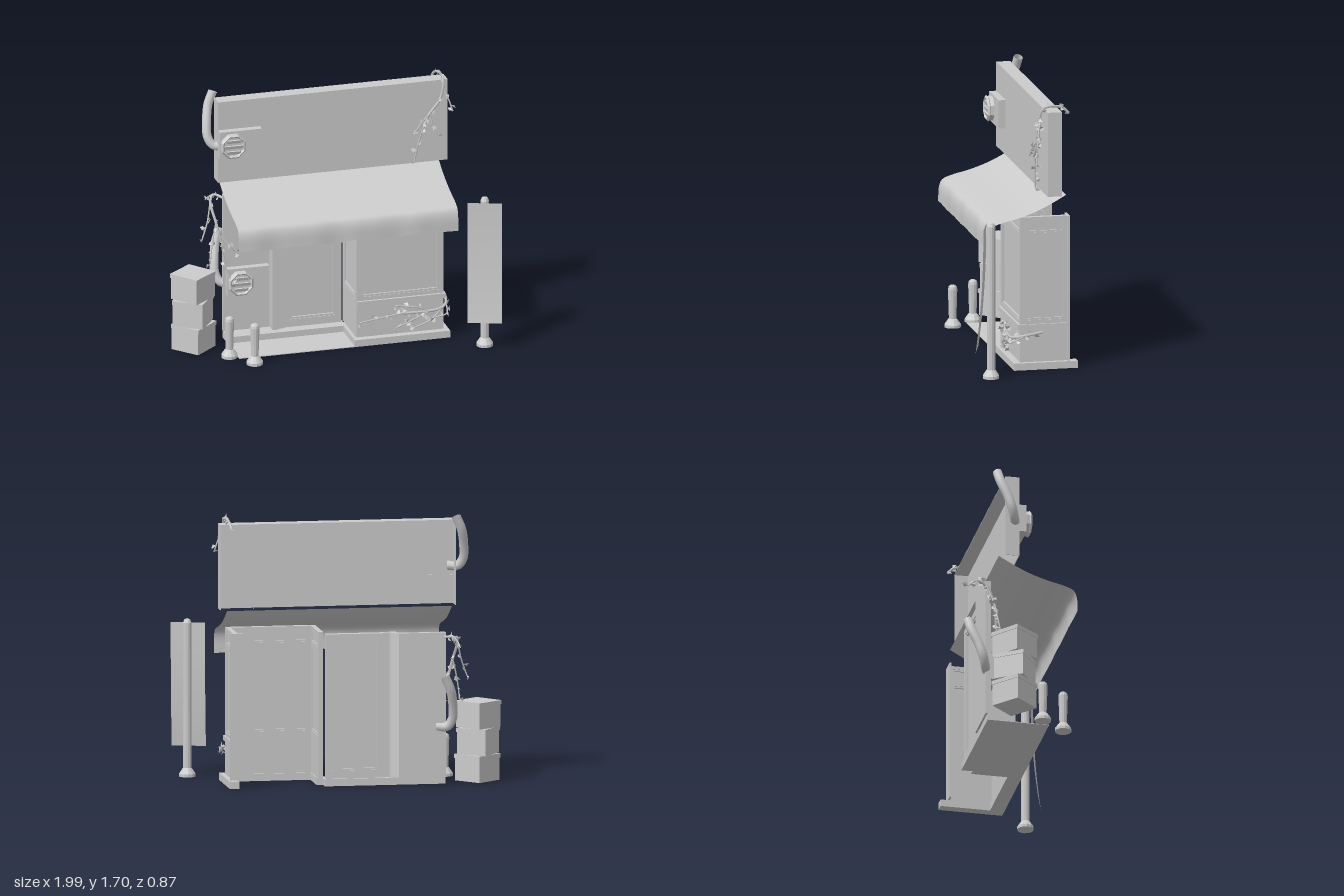
import * as THREE from 'three';

const mat = new THREE.MeshStandardMaterial({ color: 0xcccccc, flatShading: true, side: THREE.DoubleSide });
const smooth = new THREE.MeshStandardMaterial({ color: 0xcccccc, side: THREE.DoubleSide });
const V = (p) => new THREE.Vector3(...p);

function add(parent, name, geo, material = mat) {
  const m = new THREE.Mesh(geo, material);
  m.name = name;
  parent.add(m);
  return m;
}

function group(parent, name, x = 0, y = 0, z = 0, ry = 0) {
  const g = new THREE.Group();
  g.name = name;
  g.position.set(x, y, z);
  g.rotation.y = ry;
  parent.add(g);
  return g;
}

// Box given by its minimum and maximum corners
function box(parent, name, x0, y0, z0, x1, y1, z1) {
  const m = add(parent, name, new THREE.BoxGeometry(x1 - x0, y1 - y0, z1 - z0));
  m.position.set((x0 + x1) / 2, (y0 + y1) / 2, (z0 + z1) / 2);
  return m;
}

function rect(Type, x0, y0, x1, y1) {
  return new Type([[x0, y0], [x1, y0], [x1, y1], [x0, y1]].map((p) => new THREE.Vector2(...p)));
}

// Wall with recessed panels, starting at the local origin, outer face at z = depth
function panelWall(parent, name, w, h, depth, panels, pos, ry = 0) {
  const g = group(parent, name, ...pos, ry);
  const shape = rect(THREE.Shape, 0, 0, w, h);
  for (const p of panels) {
    shape.holes.push(rect(THREE.Path, ...p));
    const [x0, y0, x1, y1] = p;
    box(g, 'recessedPanel', x0, y0, depth * 0.35, x1, y1, depth * 0.6);
    // Raised moulding around each panel
    const rim = rect(THREE.Shape, x0 - 0.004, y0 - 0.004, x1 + 0.004, y1 + 0.004);
    rim.holes.push(rect(THREE.Path, x0 + 0.012, y0 + 0.012, x1 - 0.012, y1 - 0.012));
    add(g, 'panelMoulding', new THREE.ExtrudeGeometry(rim, { depth: depth * 0.8, bevelEnabled: false })).position.z = depth * 0.1;
  }
  add(g, 'wallFrame', new THREE.ExtrudeGeometry(shape, { depth, bevelEnabled: false }));
  return g;
}

function lathe(parent, name, profile, x, z) {
  const m = add(parent, name, new THREE.LatheGeometry(profile.map((p) => new THREE.Vector2(...p)), 12));
  m.position.set(x, 0, z);
  return m;
}

function tube(parent, name, pts, r, seg = 16, sides = 10) {
  const curve = new THREE.CatmullRomCurve3(pts.map(V));
  add(parent, name, new THREE.TubeGeometry(curve, seg, r, sides), smooth);
  return curve;
}

// Octagonal vent on a plate, with its bent exhaust pipe
function ventUnit(parent, name, x, y, z) {
  const g = group(parent, name, x, y, z);
  box(g, 'mountPlate', -0.08, -0.09, -0.045, 0.19, 0.09, 0);
  const ring = add(g, 'octagonRing', new THREE.TorusGeometry(0.073, 0.011, 4, 8));
  ring.rotation.z = Math.PI / 8;
  ring.position.z = 0.03;
  const drum = add(g, 'octagonDrum', new THREE.CylinderGeometry(0.076, 0.08, 0.03, 8));
  drum.rotation.set(Math.PI / 2, Math.PI / 8, 0);
  drum.position.z = 0.015;
  for (let i = -1; i <= 1; i++) {
    const w = i ? 0.045 : 0.062;
    box(g, 'louver', -w, i * 0.036 - 0.012, 0.028, w, i * 0.036 + 0.008, 0.037).rotation.x = 0.3;
  }
  tube(g, 'exhaustPipe', [[-0.04, -0.02, -0.06], [-0.1, -0.02, -0.08], [-0.132, 0.03, -0.1],
    [-0.13, 0.12, -0.13], [-0.11, 0.22, -0.17], [-0.075, 0.3, -0.185]], 0.029, 24);
}

// Vine: curved stems with small folded leaves along them
function vine(parent, name, stems) {
  const g = group(parent, name);
  const leafGeo = new THREE.BufferGeometry();
  leafGeo.setAttribute('position', new THREE.Float32BufferAttribute(
    [0, 0, 0, 0.017, 0.02, 0.008, 0, 0.038, 0, -0.017, 0.02, 0.008], 3));
  leafGeo.setIndex([0, 1, 2, 0, 2, 3]);
  leafGeo.computeVertexNormals();
  stems.forEach((pts, s) => {
    const curve = tube(g, 'stem', pts, s ? 0.005 : 0.009, 12, 5);
    const n = Math.max(3, Math.round(curve.getLength() / 0.04));
    for (let i = 1; i <= n; i++) {
      const leaf = add(g, 'leaf', leafGeo);
      leaf.position.copy(curve.getPoint(i / n));
      leaf.rotation.set(i * 1.1 + s, i * 0.8, i * 2.4 + s * 1.7);
    }
  });
}

export function createModel() {
  const root = new THREE.Group();
  root.name = 'shopFront';

  // Plinth, stepped around the entrance, and the thin entrance floor
  const base = group(root, 'plinth');
  box(base, 'wingFrontPlinth', 0.115, 0, 0.03, 0.73, 0.045, 0.12);
  box(base, 'wingSidePlinth', 0.67, 0, -0.285, 0.73, 0.045, 0.03);
  box(base, 'returnPlinth', 0.115, 0, -0.2, 0.17, 0.045, 0.03);
  box(base, 'entrancePlinth', -0.63, 0, -0.27, 0.13, 0.045, -0.14);
  box(base, 'entranceFloor', -0.63, 0, -0.14, 0.115, 0.005, 0.12);

  // Window wing
  const wing = group(root, 'windowWing');
  const upper = (w) => [[0.03, 0.265, w - 0.03, 0.785], [0.03, 0.82, w - 0.03, 0.9]];
  panelWall(wing, 'frontWall', 0.56, 0.92, 0.035, upper(0.56), [0.14, 0.045, 0.04]);
  panelWall(wing, 'sideWall', 0.31, 0.92, 0.03, upper(0.31), [0.67, 0.045, 0.074], Math.PI / 2);
  panelWall(wing, 'returnWall', 0.305, 0.92, 0.03, upper(0.305), [0.165, 0.045, -0.235], -Math.PI / 2);
  box(wing, 'windowSill', 0.14, 0.255, 0.06, 0.71, 0.285, 0.09);
  box(wing, 'sideSill', 0.69, 0.255, -0.235, 0.71, 0.285, 0.06);
  box(wing, 'rearPost', 0.62, 0.045, -0.238, 0.72, 0.965, -0.225);

  // Entrance door and the wall beside it
  const entrance = group(root, 'entrance');
  panelWall(entrance, 'door', 0.37, 0.905, 0.045, [[0.04, 0.05, 0.33, 0.86]], [-0.25, 0.045, -0.255]);
  box(entrance, 'doorJamb', -0.285, 0.045, -0.235, -0.25, 0.95, -0.2);
  box(entrance, 'doorPost', -0.33, 0, -0.24, -0.285, 0.95, -0.185);
  const wallShape = new THREE.Shape([[-0.63, -0.25], [-0.33, -0.25], [-0.28, -0.2], [-0.28, -0.232],
    [-0.335, -0.283], [-0.63, -0.283]].map(([x, z]) => new THREE.Vector2(x, -z)));
  const wall = add(entrance, 'sideWall', new THREE.ExtrudeGeometry(wallShape, { depth: 0.905, bevelEnabled: false }));
  wall.rotation.x = -Math.PI / 2;
  wall.position.y = 0.045;
  box(entrance, 'lowerNotice', -0.52, 0.49, -0.25, -0.355, 0.58, -0.24);
  box(entrance, 'upperNotice', -0.52, 0.582, -0.25, -0.36, 0.67, -0.242);
  box(entrance, 'topNotice', -0.5, 0.715, -0.25, -0.345, 0.82, -0.242);

  // Large board: a shell open behind and below, pierced for the vent plate
  const board = group(root, 'upperBoard');
  const face = rect(THREE.Shape, -0.71, 1.105, 0.77, 1.64);
  face.holes.push(rect(THREE.Path, -0.7, 1.285, -0.45, 1.445));
  add(board, 'boardFace', new THREE.ExtrudeGeometry(face, { depth: 0.004, bevelEnabled: false })).position.z = -0.089;
  box(board, 'boardTop', -0.71, 1.636, -0.175, 0.77, 1.64, -0.087);
  for (const x of [-0.71, 0.766]) box(board, 'boardEnd', x, 1.105, -0.175, x + 0.004, 1.64, -0.087);

  ventUnit(root, 'upperVent', -0.63, 1.365, -0.04);
  ventUnit(root, 'lowerVent', -0.535, 0.38, -0.205);

  // Cloth awning with a rippled valance
  const fall = new THREE.CatmullRomCurve3([[0, 1.105, -0.21], [0, 1.045, -0.1], [0, 1.0, 0], [0, 0.965, 0.11],
    [0, 0.94, 0.21], [0, 0.915, 0.265], [0, 0.87, 0.285], [0, 0.778, 0.29]].map(V));
  const cloth = new THREE.PlaneGeometry(1.415, 1, 48, 28);
  const pos = cloth.attributes.position;
  for (let i = 0; i < pos.count; i++) {
    const t = 0.5 - pos.getY(i), x = pos.getX(i), p = fall.getPoint(t);
    const ripple = Math.max(0, (t - 0.65) / 0.35);
    const wave = Math.sin(x * 17) + 0.4 * Math.sin(x * 31 + 1);
    pos.setXYZ(i, x + 0.0275, p.y + ripple * wave * 0.006, p.z + ripple * wave * 0.004);
  }
  cloth.computeVertexNormals();
  add(root, 'awning', cloth, smooth);

  // Banner on its pole
  const stand = group(root, 'bannerStand');
  lathe(stand, 'pole', [[0, 0], [0.052, 0], [0.052, 0.018], [0.031, 0.05], [0.027, 0.055], [0.027, 0.965],
    [0.018, 0.985], [0, 0.992]], 0.9, 0.305);
  const banner = new THREE.PlaneGeometry(0.205, 0.78, 1, 16);
  const bp = banner.attributes.position;
  for (let i = 0; i < bp.count; i++) {
    const t = 0.5 - bp.getY(i) / 0.78, x = bp.getX(i), bend = 0.047 * t ** 2.2;
    bp.setXYZ(i, 0.89 + x - bend * 0.3, 0.96 - 0.78 * t, 0.342 + x * 0.31 + bend);
  }
  banner.computeVertexNormals();
  add(stand, 'banner', banner, smooth);

  // Bollards
  for (const [x, z] of [[-0.68, 0.07], [-0.56, 0.225]])
    lathe(root, 'bollard', [[0, 0], [0.052, 0], [0.052, 0.018], [0.03, 0.05], [0.024, 0.055], [0.03, 0.24],
      [0.026, 0.258], [0.015, 0.267], [0, 0.268]], x, z);

  // Stacked crates, each with a shallow lid
  [[-0.85, 0.72], [-0.855, 0.95], [-0.855, 0.68]].forEach(([x, ry], i) => {
    const crate = group(root, 'crate', x, i * 0.167, -0.147, ry);
    box(crate, 'crateBody', -0.098, 0, -0.098, 0.098, 0.165, 0.098);
    box(crate, 'crateLid', -0.102, 0.14, -0.102, 0.102, 0.166, 0.102);
  });

  // Climbing plants
  vine(root, 'boardVine', [
    [[0.71, 1.62, -0.23], [0.72, 1.665, -0.18], [0.735, 1.66, -0.06], [0.71, 1.53, -0.04], [0.64, 1.43, -0.05], [0.6, 1.35, -0.04]],
    [[0.6, 1.35, -0.04], [0.57, 1.24, -0.05], [0.545, 1.12, -0.055]],
    [[0.65, 1.44, -0.05], [0.58, 1.38, -0.03], [0.54, 1.32, -0.02]],
    [[0.65, 1.44, -0.05], [0.66, 1.36, -0.04], [0.69, 1.29, -0.03]],
    [[0.73, 1.6, -0.05], [0.76, 1.53, -0.03], [0.785, 1.45, -0.02]],
  ]);
  vine(root, 'wingVine', [
    [[0.72, 0.235, -0.06], [0.725, 0.22, 0.04], [0.68, 0.2, 0.11], [0.55, 0.19, 0.12], [0.42, 0.19, 0.11]],
    [[0.42, 0.19, 0.11], [0.3, 0.17, 0.1], [0.15, 0.145, 0.09]],
    [[0.6, 0.19, 0.12], [0.47, 0.14, 0.13], [0.38, 0.1, 0.12]],
    [[0.68, 0.2, 0.11], [0.6, 0.14, 0.14], [0.5, 0.09, 0.12]],
    [[0.6, 0.19, 0.12], [0.5, 0.23, 0.13], [0.38, 0.24, 0.1]],
    [[0.72, 0.21, 0.06], [0.7, 0.17, 0.14], [0.62, 0.16, 0.16]],
  ]);
  vine(root, 'wallVine', [
    [[-0.62, 0.92, -0.28], [-0.67, 0.93, -0.34], [-0.7, 0.9, -0.3], [-0.68, 0.78, -0.24], [-0.65, 0.65, -0.22]],
    [[-0.7, 0.9, -0.3], [-0.73, 0.78, -0.26], [-0.77, 0.67, -0.24]],
    [[-0.68, 0.78, -0.24], [-0.71, 0.65, -0.22], [-0.73, 0.52, -0.2]],
    [[-0.66, 0.7, -0.23], [-0.6, 0.63, -0.2], [-0.54, 0.57, -0.19]],
    [[-0.65, 0.65, -0.22], [-0.63, 0.5, -0.2], [-0.58, 0.36, -0.17]],
    [[-0.67, 0.93, -0.34], [-0.69, 0.9, -0.38], [-0.7, 0.87, -0.41]],
  ]);
  return root;
}
